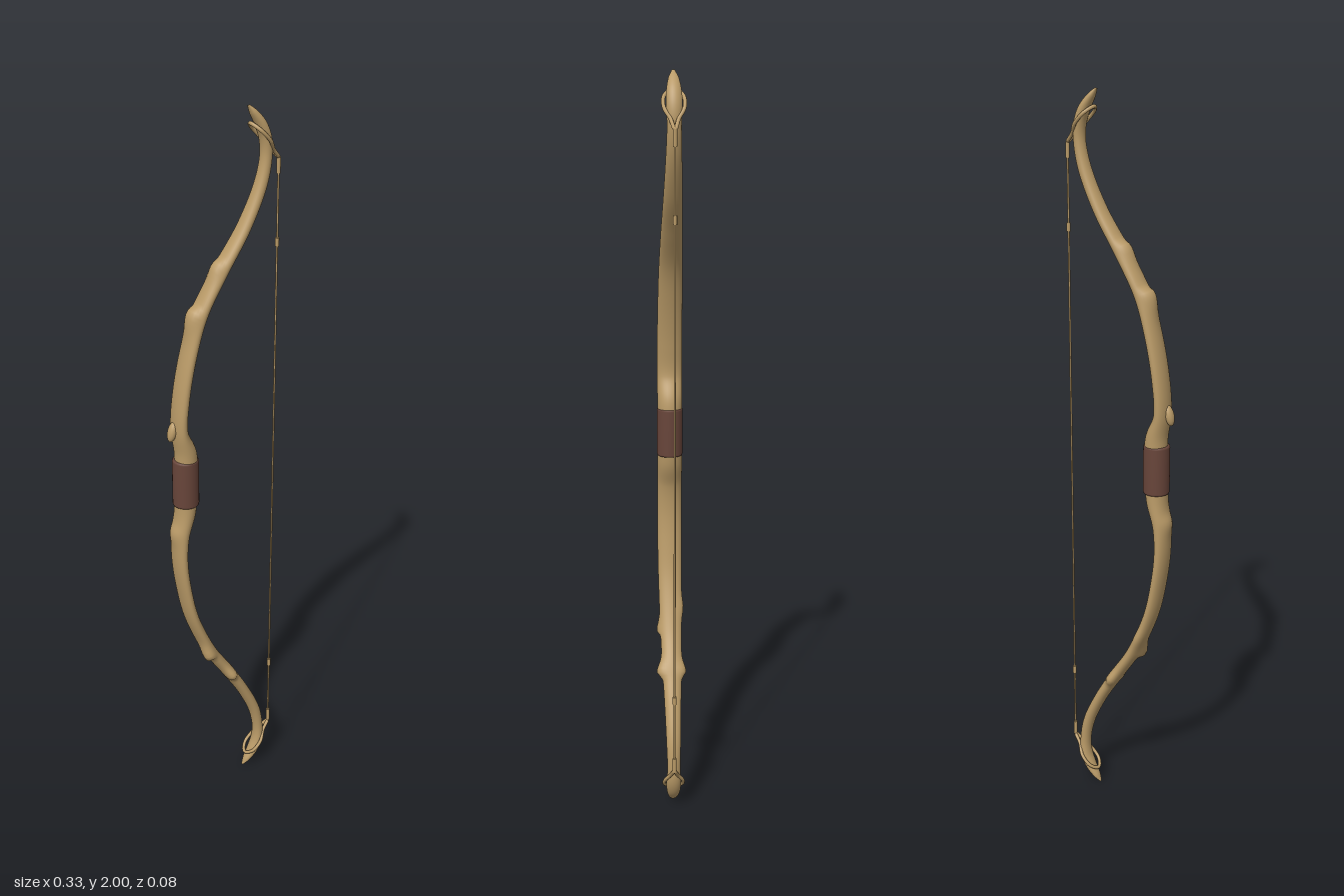
import * as THREE from 'three';

// Bow stations from lower to upper tip: y, x, half thickness, half width
const STATIONS = [
  [0.002, 0.068, 0.002, 0.004], [0.02, 0.082, 0.009, 0.013], [0.05, 0.103, 0.014, 0.019],
  [0.085, 0.117, 0.015, 0.020], [0.13, 0.120, 0.015, 0.018], [0.2, 0.107, 0.016, 0.020],
  [0.29, 0.066, 0.016, 0.023], [0.38, 0.012, 0.017, 0.027], [0.47, -0.045, 0.017, 0.030],
  [0.6, -0.101, 0.017, 0.033], [0.7, -0.124, 0.017, 0.034], [0.8, -0.136, 0.018, 0.034],
  [0.88, -0.133, 0.021, 0.034], [0.95, -0.118, 0.028, 0.034], [1.035, -0.114, 0.031, 0.033],
  [1.12, -0.114, 0.029, 0.034], [1.19, -0.131, 0.019, 0.034], [1.28, -0.125, 0.018, 0.034],
  [1.4, -0.101, 0.018, 0.033], [1.5, -0.068, 0.018, 0.031], [1.6, -0.008, 0.017, 0.028],
  [1.7, 0.058, 0.016, 0.024], [1.8, 0.105, 0.016, 0.020], [1.87, 0.120, 0.015, 0.018],
  [1.915, 0.117, 0.015, 0.020], [1.95, 0.103, 0.014, 0.019], [1.98, 0.082, 0.009, 0.013],
  [1.998, 0.068, 0.002, 0.004],
];
const MID_Z = -0.004;

// Knots in the wood: y, angle around the limb, height, reach below, reach above
const KNOTS = [
  [1.495, Math.PI, 0.016, 0.045, 0.012], [1.605, Math.PI, 0.012, 0.035, 0.012],
  [0.472, Math.PI * 1.25, 0.018, 0.010, 0.03], [0.372, Math.PI * 1.5, 0.016, 0.012, 0.025],
  [0.372, Math.PI * 0.5, 0.013, 0.012, 0.025], [0.53, Math.PI * 0.5, 0.005, 0.025, 0.025],
  [0.885, Math.PI, 0.007, 0.03, 0.02],
];

// Closed rings lofted along a curve; ring(t, angle) gives offsets along normal and width
function loft(rows, sides, centre, ring) {
  const pos = [], index = [];
  for (let i = 0; i <= rows; i++) {
    const t = i / rows, c = centre.getPoint(t), d = centre.getTangent(t);
    for (let j = 0; j < sides; j++) {
      const [n, w] = ring(t, (j / sides) * Math.PI * 2, c);
      pos.push(c.x + d.y * n, c.y - d.x * n, c.z - w);
      if (i < rows) {
        const a = i * sides + j, b = i * sides + (j + 1) % sides;
        index.push(a, b, a + sides, b, b + sides, a + sides);
      }
    }
  }
  const g = new THREE.BufferGeometry();
  g.setAttribute('position', new THREE.Float32BufferAttribute(pos, 3));
  g.setIndex(index);
  g.computeVertexNormals();
  return g;
}

export function createModel() {
  const group = new THREE.Group();
  const material = (name, color) => {
    const m = new THREE.MeshStandardMaterial({ color });
    m.name = name;
    return m;
  };
  const wood = material('wood and cord', 0xb99a67);
  const leather = material('grip leather', 0x68453a);

  const add = (name, geometry, mat, x = 0, y = 0, z = 0) => {
    const mesh = new THREE.Mesh(geometry, mat);
    mesh.name = name;
    mesh.position.set(x, y, z);
    group.add(mesh);
    return mesh;
  };

  // Carved stave with knots swelling out of it
  const centre = new THREE.CatmullRomCurve3(STATIONS.map(([y, x]) => new THREE.Vector3(x, y, MID_Z)));
  const size = new THREE.CatmullRomCurve3(STATIONS.map(([, , a, b]) => new THREE.Vector3(a, b, 0)), false, 'catmullrom');
  add('stave', loft(270, 28, centre, (t, angle, c) => {
    const s = size.getPoint(t);
    let swell = 0;
    for (const [y, a, h, below, above] of KNOTS) {
      const dy = (c.y - y) / (c.y < y ? below : above);
      const da = Math.atan2(Math.sin(angle - a), Math.cos(angle - a)) / 0.75;
      swell += h * Math.exp(-dy * dy - da * da);
    }
    return [Math.cos(angle) * (s.x + swell), Math.sin(angle) * (s.y + swell)];
  }), wood);

  // Broken twig stub above the grip
  const stub = add('twigStub', new THREE.SphereGeometry(1, 16, 12), wood, -0.152, 1.192, MID_Z);
  stub.scale.set(0.012, 0.028, 0.014);
  stub.rotation.z = -0.25;

  // Smooth leather grip with softened rims
  const profile = [[0.029, -0.0675], [0.034, -0.0665], [0.0355, -0.062], [0.0355, 0.062], [0.034, 0.0665], [0.029, 0.0675]];
  add('grip', new THREE.LatheGeometry(profile.map(([r, y]) => new THREE.Vector2(r, y)), 28), leather, -0.1145, 1.0375, MID_Z);

  // Bowstring
  add('bowstring', new THREE.CylinderGeometry(0.0027, 0.0027, 1.725, 8), wood, 0.157, 1, MID_Z);

  // String loops and servings, mirrored top and bottom
  for (const [end, sign] of [['upper', 1], ['lower', -1]]) {
    const at = (h) => 1 + sign * h;
    const half = [[0.135, 0.886, 0.010], [0.117, 0.912, 0.025], [0.090, 0.940, 0.023]];
    const points = [
      [0.157, 0.862, 0], ...half, [0.076, 0.953, 0],
      ...half.slice().reverse().map(([x, h, z]) => [x, h, -z]),
    ].map(([x, h, z]) => new THREE.Vector3(x, at(h), z + MID_Z));
    add(end + 'StringLoop', new THREE.TubeGeometry(new THREE.CatmullRomCurve3(points, true), 48, 0.005, 8, true), wood);
    add(end + 'EndServing', new THREE.CylinderGeometry(0.0055, 0.0055, 0.04, 10), wood, 0.157, at(0.842), MID_Z);
    add(end + 'InnerServing', new THREE.CylinderGeometry(0.0055, 0.0055, 0.022, 10), wood, 0.157, at(0.647), MID_Z);
  }
  return group;
}
